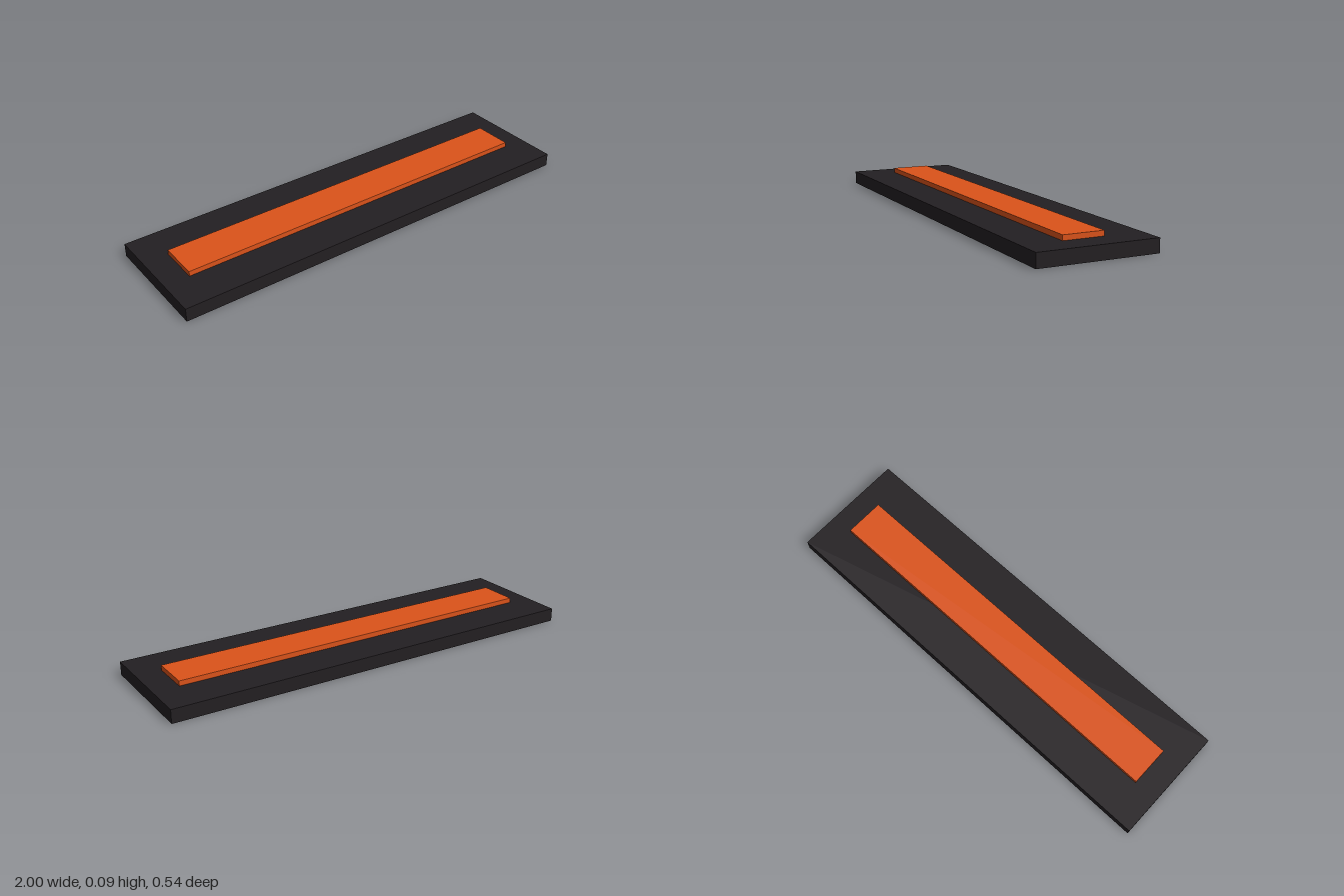
import * as THREE from 'three';

// Box resting with its underside at the given height
function slab(name, width, height, depth, bottom, color) {
  const mesh = new THREE.Mesh(
    new THREE.BoxGeometry(width, height, depth),
    new THREE.MeshStandardMaterial({ color })
  );
  mesh.name = name;
  mesh.position.y = bottom + height / 2;
  return mesh;
}

export function createModel() {
  const group = new THREE.Group();
  group.name = 'stripPanel';

  const baseHeight = 0.062;
  // Dark base plate
  group.add(slab('basePlate', 2, baseHeight, 0.54, 0, 0x231f22));
  // Raised orange strip along the middle
  group.add(slab('raisedStrip', 1.77, 0.023, 0.185, baseHeight, 0xdb531a));

  return group;
}
